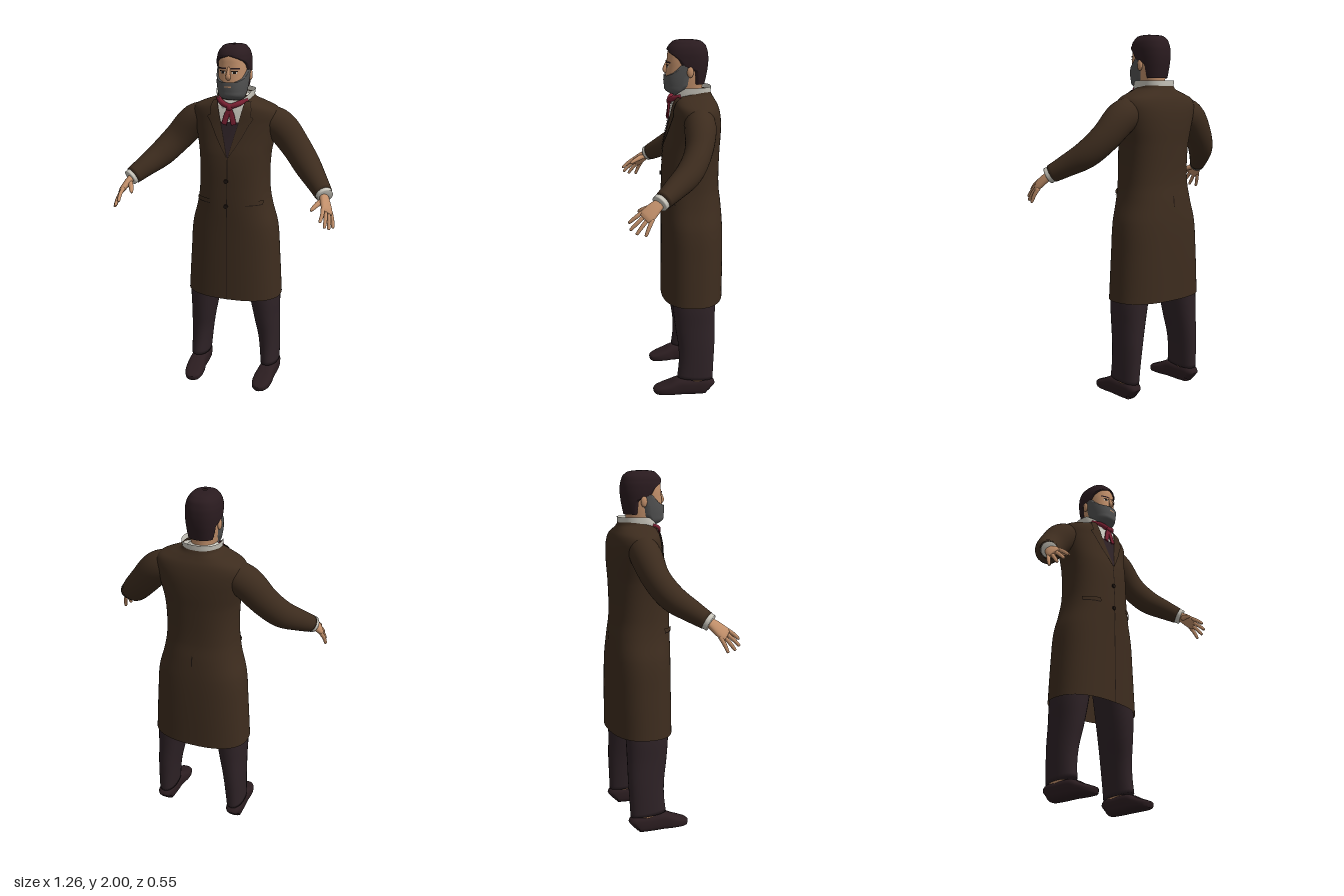
import * as THREE from 'three';
import { mergeVertices } from 'three/addons/utils/BufferGeometryUtils.js';

const mat = (name, color) => Object.assign(
  new THREE.MeshStandardMaterial({ color, side: THREE.DoubleSide }), { name });
const M = {
  coat: mat('coat brown', 0x3d2c1e), trim: mat('dark trim', 0x1d140f),
  trousers: mat('dark plum cloth', 0x2e2226), shoe: mat('shoe leather', 0x2b1d20),
  hair: mat('dark hair', 0x2a1b1f), beard: mat('grey beard', 0x535353),
  skin: mat('skin', 0xc18f6a), scarf: mat('red scarf', 0x7a2032),
  shirt: mat('off white linen', 0xcbc8be),
};

// Linear and smooth lookups in tables sorted by their first column
const find = (T, y) => {
  let i = 0;
  while (i < T.length - 2 && y > T[i + 1][0]) i++;
  return i;
};
function lin(T, y) {
  const i = find(T, y), [a, b] = [T[i], T[i + 1]];
  return THREE.MathUtils.lerp(a[1], b[1], THREE.MathUtils.clamp((y - a[0]) / (b[0] - a[0]), 0, 1));
}
function smooth(T, y, k) {
  const i = find(T, y), h = T[i + 1][0] - T[i][0], t = (y - T[i][0]) / h;
  const slope = j => (T[j + 1][k] - T[j][k]) / (T[j + 1][0] - T[j][0]);
  const m = j => (slope(Math.max(0, j - 1)) + slope(Math.min(T.length - 2, j))) / 2;
  const t2 = t * t, t3 = t2 * t;
  return (2 * t3 - 3 * t2 + 1) * T[i][k] + (t3 - 2 * t2 + t) * h * m(i)
    + (3 * t2 - 2 * t3) * T[i + 1][k] + (t3 - t2) * h * m(i + 1);
}

// Mesh from rows of points, with optional end caps
function grid(name, material, rows, caps = false) {
  const pos = rows.flat().flatMap(p => [p.x, p.y, p.z]), idx = [], n = rows[0].length, R = rows.length;
  for (let i = 0; i < R - 1; i++) for (let j = 0; j < n - 1; j++) {
    const a = i * n + j, d = a + n;
    idx.push(a, a + 1, d + 1, a, d + 1, d);
  }
  if (caps) [0, R - 1].forEach(r => {
    const c = new THREE.Vector3(), o = pos.length / 3;
    rows[r].slice(1).forEach(p => c.addScaledVector(p, 1 / (n - 1)));
    pos.push(c.x, c.y, c.z);
    for (let j = 0; j < n - 1; j++) idx.push(o, r * n + j + (r ? 0 : 1), r * n + j + (r ? 1 : 0));
  });
  let g = new THREE.BufferGeometry();
  g.setAttribute('position', new THREE.Float32BufferAttribute(pos, 3));
  g.setIndex(idx);
  g = mergeVertices(g, 1e-5);
  g.computeVertexNormals();
  const mesh = new THREE.Mesh(g, material);
  mesh.name = name;
  return mesh;
}

const N = 2.4;
const pw = (v, e) => Math.sign(v) * Math.abs(v) ** e;

// Upright profile surface: table rows are [y, half width, front z, back z]; angle 0 faces front
function point(T, y, a, off) {
  const w = smooth(T, y, 1) + off, f = smooth(T, y, 2) + off, b = smooth(T, y, 3) - off;
  const lift = off * THREE.MathUtils.clamp((y - 1.93) / 0.05, 0, 1);
  return new THREE.Vector3(w * pw(Math.sin(a), 2 / N), y + lift,
    (f + b) / 2 + (f - b) / 2 * pw(Math.cos(a), 2 / N));
}
const angle = (T, y, x) => Math.sign(x) * Math.asin(Math.min(1, Math.abs(x) / smooth(T, y, 1)) ** (N / 2));
const span = (a, b, n = 16) => Array.from({ length: n + 1 }, (_, i) => a + (b - a) * i / n);
const steps = (T, k = 5) => T.slice(1).flatMap((r, i) => span(T[i][0], r[0], k).slice(i ? 1 : 0));

// Part of a profile surface between two edge angles; taper thins it out at the edges
function skinPatch(name, material, T, ys, from, to, off, taper = false, seg = 48) {
  return grid(name, material, ys.map(y => {
    const a = from(y), b = to(y);
    return span(a, b, seg).map(t => {
      const edge = taper && Math.abs(a) > 0.05 ? Math.min(1, Math.min(t - a, b - t) / 0.12) : 1;
      return point(T, y, t, off * edge);
    });
  }));
}
// Thin plate on the front, bounded by x at each height
const plate = (name, m, T, y0, y1, xa, xb, off, n = 16) => skinPatch(name, m, T, span(y0, y1, n),
  y => angle(T, y, xa(y)), y => angle(T, y, xb(y)), off, false, 12);
const ring = (name, m, T, k) => skinPatch(name, m, T, steps(T, k), () => -Math.PI, () => Math.PI, 0, false, 64);

// Tube through [x, y, z, radius u, radius v]; u follows the hint direction
function loft(name, material, pts, hint, n = 2, seg = 20, per = 5) {
  const curve = new THREE.CatmullRomCurve3(pts.map(p => new THREE.Vector3(p[0], p[1], p[2])));
  const T = pts.map((p, i) => [i, p[3], p[4] ?? p[3]]), count = (pts.length - 1) * per;
  return grid(name, material, span(0, 1, count).map(t => {
    const c = curve.getPoint(t), d = curve.getTangent(t), s = t * (pts.length - 1);
    const u = new THREE.Vector3(...hint).addScaledVector(d, -d.dot(new THREE.Vector3(...hint))).normalize();
    const v = d.clone().cross(u);
    return span(0, 2 * Math.PI, seg).map(a => c.clone()
      .addScaledVector(u, smooth(T, s, 1) * pw(Math.cos(a), 2 / n))
      .addScaledVector(v, smooth(T, s, 2) * pw(Math.sin(a), 2 / n)));
  }), true);
}
function ball(name, material, x, y, z, sx, sy, sz) {
  const mesh = new THREE.Mesh(new THREE.SphereGeometry(1, 20, 14), material);
  mesh.name = name;
  mesh.position.set(x, y, z);
  mesh.scale.set(sx, sy, sz);
  return mesh;
}

const COAT = [[0.55, 0.278, 0.075, -0.275], [0.8, 0.262, 0.073, -0.276], [0.98, 0.247, 0.072, -0.272],
  [1.1, 0.215, 0.073, -0.262], [1.2, 0.2, 0.071, -0.25], [1.4, 0.203, 0.06, -0.252], [1.5, 0.222, 0.037, -0.257],
  [1.58, 0.24, 0.02, -0.255], [1.63, 0.245, 0.012, -0.246], [1.66, 0.225, 0.006, -0.235],
  [1.685, 0.165, 0, -0.22], [1.705, 0.112, -0.008, -0.208], [1.73, 0.098, -0.02, -0.197]];
const HEAD = [[1.6, 0.06, -0.03, -0.15], [1.7, 0.056, -0.03, -0.155], [1.712, 0.058, 0.005, -0.155],
  [1.73, 0.065, 0.035, -0.155], [1.76, 0.071, 0.042, -0.157], [1.8, 0.077, 0.044, -0.165], [1.85, 0.081, 0.04, -0.174],
  [1.9, 0.082, 0.036, -0.177], [1.945, 0.076, 0.028, -0.17], [1.972, 0.058, 0.005, -0.15],
  [1.986, 0.032, -0.025, -0.11], [1.99, 0.001, -0.06, -0.062]];
const COLLAR = [[1.66, 0.085, 0.02, -0.175], [1.71, 0.1, 0.012, -0.198], [1.752, 0.106, 0, -0.203]];
const NECKBAND = [[1.68, 0.105, 0, -0.2], [1.71, 0.085, -0.015, -0.185], [1.735, 0.055, -0.03, -0.155]];

function buildCoat(g) {
  g.add(ring('coatBody', M.coat, COAT, 5));
  // Open neck: shirt and waistcoat inside the V, then lapels
  const vee = y => lin([[1.4, 0.002], [1.5, 0.026], [1.6, 0.052], [1.7, 0.075]], y);
  const lapel = y => lin([[1.4, 0.004], [1.5, 0.065], [1.58, 0.105], [1.615, 0.128], [1.625, 0.108],
    [1.66, 0.112], [1.7, 0.098]], y);
  g.add(plate('shirtFront', M.shirt, COAT, 1.56, 1.705, y => -vee(y), vee, 0.004));
  g.add(plate('waistcoat', M.trousers, COAT, 1.4, 1.59, y => -vee(y), vee, 0.006));
  for (const s of [-1, 1]) {
    g.add(plate('lapelEdge', M.trim, COAT, 1.4, 1.7, y => s * vee(y), y => s * (lapel(y) + 0.003), 0.006, 40));
    g.add(plate('lapel', M.coat, COAT, 1.4, 1.7, y => s * (vee(y) + 0.002), y => s * lapel(y), 0.0095, 40));
    g.add(plate('pocketLine', M.trim, COAT, 1.128, 1.134, () => s * 0.1, () => s * 0.185, 0.005, 4));
    g.add(plate('pocketFlap', M.coat, COAT, 1.133, 1.155, () => s * 0.1, () => s * 0.185, 0.007, 4));
  }
  g.add(plate('frontSeam', M.trim, COAT, 0.55, 1.4, () => -0.0025, () => 0.0025, 0.003, 40));
  g.add(skinPatch('backSeam', M.trim, COAT, span(1.07, 1.13, 6), () => Math.PI - 0.006, () => Math.PI + 0.006, 0.003));
  for (const y of [1.12, 1.265]) {
    const button = new THREE.Mesh(new THREE.CylinderGeometry(0.012, 0.012, 0.008, 16), M.trim);
    button.name = 'coatButton';
    button.rotation.x = Math.PI / 2;
    button.position.set(-0.006, y, smooth(COAT, y, 2) + 0.004);
    g.add(button);
  }
}

function buildNeckwear(g) {
  g.add(ring('neckband', M.shirt, NECKBAND, 4));
  const open = y => lin([[1.66, 0.3], [1.71, 0.6], [1.752, 1.2]], y);
  g.add(skinPatch('shirtCollar', M.shirt, COLLAR, steps(COLLAR), open, y => 2 * Math.PI - open(y), 0));
  g.add(loft('scarfBand', M.scarf, [[-0.082, 1.708, -0.035, 0.012], [-0.045, 1.69, 0.008, 0.015],
    [0, 1.677, 0.022, 0.014], [0.045, 1.69, 0.008, 0.015], [0.082, 1.708, -0.035, 0.012]], [0, 1, 0]));
  g.add(ball('scarfKnot', M.scarf, 0, 1.67, 0.026, 0.018, 0.018, 0.014));
  for (const s of [-1, 1]) g.add(loft('scarfTail', M.scarf, [[0, 1.672, 0.026, 0.01, 0.006],
    [s * 0.014, 1.63, 0.029, 0.015, 0.006], [s * 0.028, 1.578, 0.036, 0.015, 0.005]], [1, 0, 0], 3));
}

function buildHead(g) {
  g.add(ring('headAndNeck', M.skin, HEAD, 5));
  const hairEdge = y => lin([[1.765, 2.1], [1.8, 2], [1.84, 1.9], [1.86, 1.42], [1.9, 1.15],
    [1.92, 0.85], [1.934, 0.45], [1.94, 0]], y);
  const top = [...span(1.765, 1.934, 22), ...steps(HEAD).filter(y => y > 1.938)];
  g.add(skinPatch('hair', M.hair, HEAD, top, hairEdge, y => 2 * Math.PI - hairEdge(y), 0.01, true, 64));
  // Beard, moustache edge and sideburns
  const jaw = y => lin([[1.704, 1.35], [1.76, 1.65], [1.87, 1.7]], y);
  const cheek = y => lin([[1.81, 0.3], [1.826, 0.85], [1.85, 1.15], [1.87, 1.3]], y);
  g.add(skinPatch('beard', M.beard, HEAD, span(1.704, 1.812, 20), y => -jaw(y), jaw, 0.011, true));
  g.add(plate('mouth', M.skin, HEAD, 1.784, 1.79, () => -0.016, () => 0.016, 0.013, 3));
  g.add(loft('nose', M.skin, [[0, 1.888, 0.032, 0.007], [0, 1.862, 0.043, 0.01],
    [0, 1.838, 0.05, 0.014, 0.01], [0, 1.824, 0.042, 0.01, 0.007]], [1, 0, 0]));
  for (const s of [-1, 1]) {
    const burn = [y => cheek(y), y => jaw(y)];
    g.add(skinPatch('sideburn', M.beard, HEAD, span(1.81, 1.87, 10),
      s > 0 ? burn[0] : y => -jaw(y), s > 0 ? burn[1] : y => -cheek(y), 0.009, true, 24));
    g.add(plate('eyeWhite', M.shirt, HEAD, 1.856, 1.867, () => s * 0.018, () => s * 0.044, 0.002, 4));
    g.add(plate('iris', M.trim, HEAD, 1.855, 1.868, () => s * 0.024, () => s * 0.039, 0.004, 4));
    g.add(plate('upperLid', M.trim, HEAD, 1.866, 1.871, () => s * 0.015, () => s * 0.047, 0.005, 3));
    g.add(plate('eyebrow', M.hair, HEAD, 1.879, 1.887, () => s * 0.012, () => s * 0.056, 0.005, 3));
    g.add(ball('ear', M.skin, s * 0.087, 1.835, -0.082, 0.011, 0.03, 0.018));
  }
}

function buildArm(g, s) {
  const tube = (name, m, pts, hint, ...rest) => g.add(loft(name, m,
    pts.map(([x, ...p]) => [s * x, ...p]), [s * hint[0], hint[1], hint[2]], ...rest));
  tube('sleeve', M.coat, [[0.16, 1.595, -0.12, 0.08, 0.08], [0.25, 1.553, -0.12, 0.084, 0.09],
    [0.345, 1.452, -0.098, 0.073, 0.082], [0.425, 1.365, -0.042, 0.07, 0.075],
    [0.497, 1.303, 0.04, 0.058, 0.06], [0.548, 1.26, 0.102, 0.046, 0.05]], [0, 0, 1], 2, 28);
  tube('cuff', M.shirt, [[0.54, 1.267, 0.093, 0.045], [0.56, 1.249, 0.119, 0.045]], [0, 1, 0]);
  // Hand: flat palm, four spread fingers and a thumb
  const across = [0.49, -0.47, -0.73];
  tube('palm', M.skin, [[0.55, 1.255, 0.11, 0.026, 0.02], [0.567, 1.228, 0.145, 0.036, 0.019],
    [0.584, 1.195, 0.182, 0.041, 0.016], [0.588, 1.183, 0.196, 0.034, 0.01]], across, 2.3);
  const fingers = [[-0.032, 0.567, 1.155, 0.272], [-0.01, 0.59, 1.125, 0.266],
    [0.012, 0.608, 1.108, 0.236], [0.032, 0.621, 1.102, 0.192]];
  for (const [o, x, y, z] of fingers) {
    const b = [0.582 + across[0] * o, 1.198 + across[1] * o, 0.178 + across[2] * o];
    tube('finger', M.skin, [[...b, 0.011], [(b[0] + x) / 2 + 0.004, (b[1] + y) / 2 + 0.004, (b[2] + z) / 2, 0.0105],
      [x, y + 0.004, z - 0.002, 0.008], [x, y, z, 0.004]], across, 2, 10, 3);
  }
  tube('thumb', M.skin, [[0.556, 1.235, 0.135, 0.016], [0.532, 1.222, 0.175, 0.014],
    [0.513, 1.205, 0.212, 0.01], [0.507, 1.198, 0.224, 0.005]], across, 2, 10, 3);
}

function buildLeg(g, s) {
  const tube = (name, m, pts, ...rest) => g.add(loft(name, m, pts.map(([x, ...p]) => [s * x, ...p]), [1, 0, 0], ...rest));
  tube('trouserLeg', M.trousers, [[0.21 + 0.01, 0.1, -0.105, 0.052, 0.103], [0.215, 0.2, -0.112, 0.057, 0.1],
    [0.208, 0.3, -0.113, 0.063, 0.104], [0.195, 0.42, -0.105, 0.074, 0.113],
    [0.182, 0.55, -0.1, 0.087, 0.12], [0.15, 0.75, -0.1, 0.09, 0.12], [0.12, 0.95, -0.1, 0.08, 0.11]], 2.2, 28);
  tube('ankle', M.skin, [[0.22, 0.06, -0.12, 0.04, 0.07], [0.22, 0.14, -0.12, 0.04, 0.07]]);
  tube('shoe', M.shoe, [[0.222, 0.035, -0.193, 0.02, 0.035], [0.222, 0.048, -0.178, 0.044, 0.048],
    [0.22, 0.05, -0.1, 0.049, 0.05], [0.218, 0.05, -0.02, 0.05, 0.05], [0.214, 0.038, 0.035, 0.056, 0.038],
    [0.21, 0.028, 0.085, 0.052, 0.028], [0.205, 0.021, 0.12, 0.036, 0.021], [0.203, 0.018, 0.133, 0.014, 0.014]], 3, 28);
}

export function createModel() {
  const model = new THREE.Group();
  model.name = 'standingManInLongCoat';
  const part = (name, build, ...args) => {
    const g = new THREE.Group();
    g.name = name;
    build(g, ...args);
    model.add(g);
  };
  part('coat', buildCoat);
  part('neckwear', buildNeckwear);
  part('head', buildHead);
  for (const [side, s] of [['left', 1], ['right', -1]]) {
    part(side + 'Arm', buildArm, s);
    part(side + 'Leg', buildLeg, s);
  }
  return model;
}
